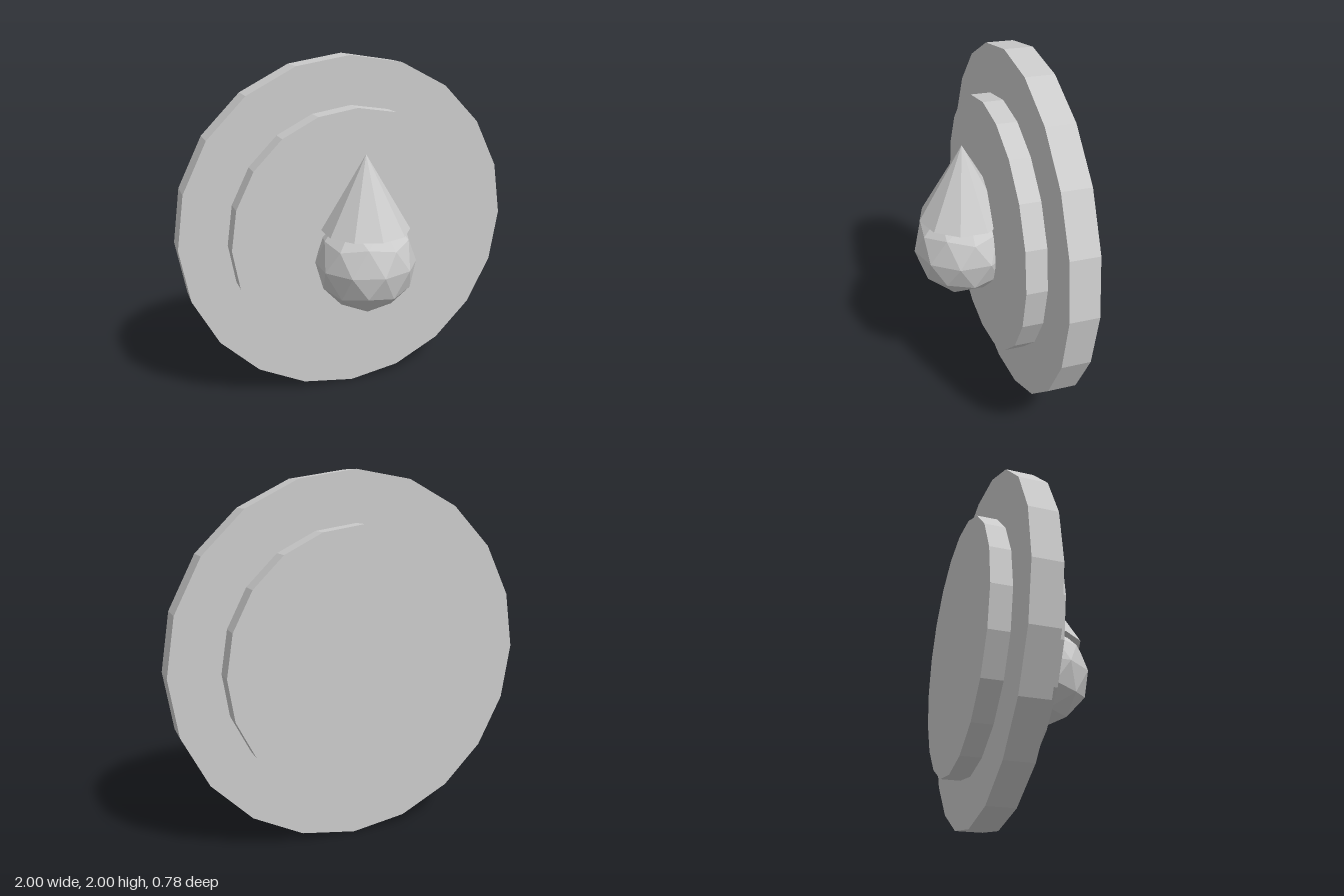
import * as THREE from 'three';

export function createModel() {
  const group = new THREE.Group();
  const grey = new THREE.MeshStandardMaterial({ color: 0xcccccc });
  grey.name = 'light grey';
  grey.flatShading = true;

  const add = (name, geometry, y, z) => {
    const mesh = new THREE.Mesh(geometry, grey);
    mesh.name = name;
    mesh.position.set(0, y, z);
    group.add(mesh);
  };

  // Upright twenty-sided discs: a wide rim and a thicker inner plate
  const disc = (radius, depth) =>
    new THREE.CylinderGeometry(radius, radius, depth, 20).rotateX(Math.PI / 2);
  add('rimDisc', disc(1, 0.155), 1, -0.2);
  add('innerDisc', disc(0.73, 0.38), 1, -0.2);

  // Drop: faceted ball with one corner turned to each pole
  const tilt = Math.atan(2 / (1 + Math.sqrt(5)));
  add('dropBall', new THREE.IcosahedronGeometry(0.285, 1).rotateZ(-tilt), 0.885, 0.108);

  // Drop: pointed cap with a slightly overhanging edge
  add('dropPoint', new THREE.ConeGeometry(0.248, 0.425, 10), 1.288, 0.108);

  return group;
}
